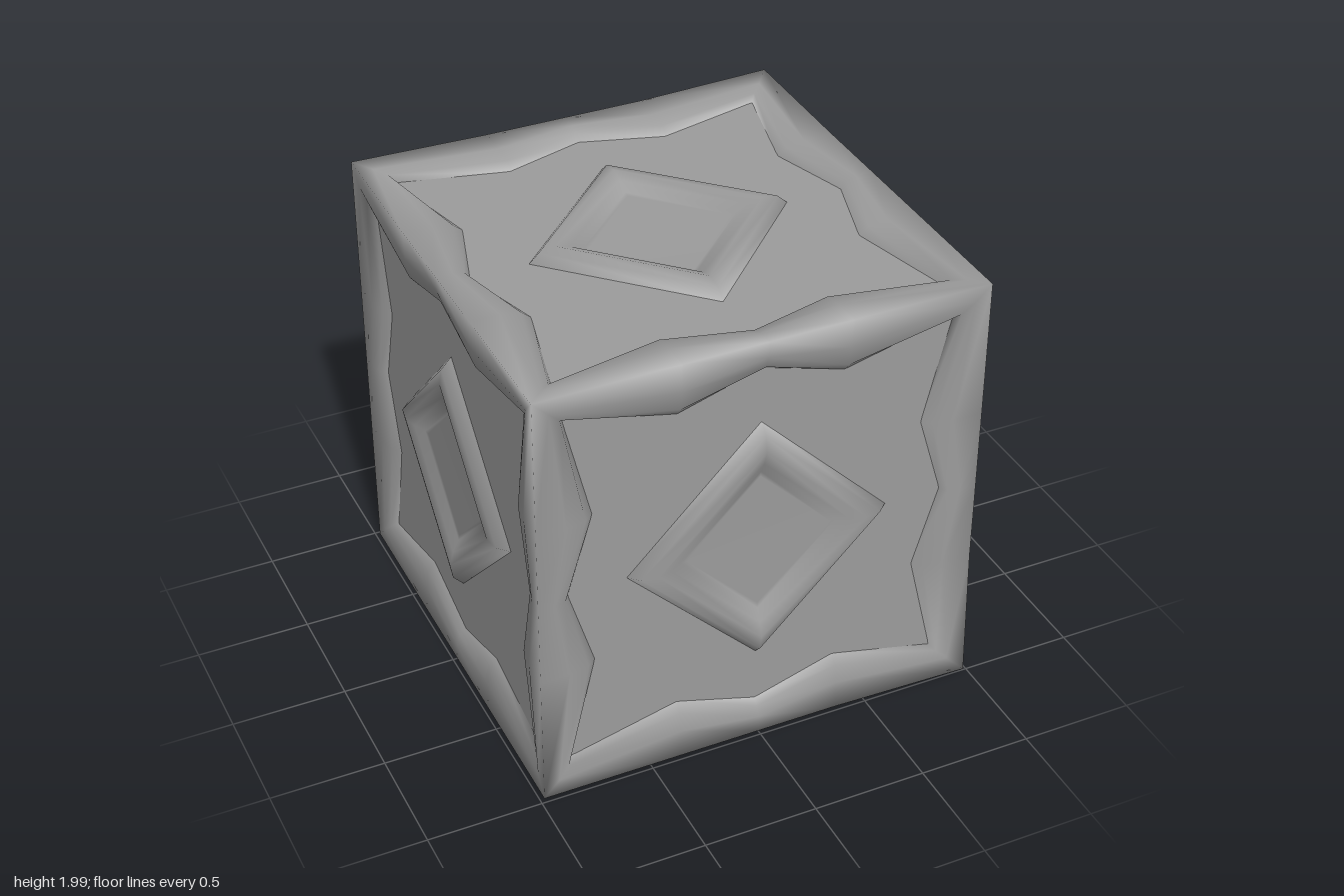
import * as THREE from 'three';
import { mergeGeometries, mergeVertices } from 'three/addons/utils/BufferGeometryUtils.js';

const HALF = 0.98;   // half width over the frame
const PANEL = 0.93;  // distance of the recessed panels from the centre
const H = Math.PI / 2;

// Turn that carries an upward face to each side, and how far its diamond stands out
const SIDES = {
  top: { turn: [0, 0, 0], lift: 0 },
  bottom: { turn: [Math.PI, 0, 0], lift: 0 },
  front: { turn: [H, 0, 0], lift: 0 },
  back: { turn: [-H, 0, 0], lift: 0.008 },
  left: { turn: [0, 0, -H], lift: 0.014 },
  right: { turn: [0, 0, H], lift: 0.004 },
};

// Wavy border of one upward face: straight outer edge, zigzag inner edge
function borderGeometry() {
  const quarter = [ // [outer, inner] along one side, as x, z
    [[HALF, HALF], [0.838, 0.838]],
    [[HALF, 0.365], [0.722, 0.362]],
    [[HALF, 0], [0.832, 0]],
    [[HALF, -0.365], [0.722, -0.362]],
  ];
  const loop = [];
  const turn = ([x, z], n) => (n === 0 ? [x, z] : turn([z, -x], n - 1));
  for (let n = 0; n < 4; n++) for (const [o, i] of quarter) loop.push([turn(o, n), turn(i, n)]);

  const rows = [[0, 0], [0.5, 0.004], [0.84, 0.018], [1, 0.052]]; // [inset, depth]
  const count = loop.length;
  const positions = [];
  const indices = [];
  for (const [t, depth] of rows) {
    for (const [o, i] of loop) {
      positions.push(o[0] + (i[0] - o[0]) * t, HALF - depth, o[1] + (i[1] - o[1]) * t);
    }
  }
  for (let r = 0; r < rows.length - 1; r++) {
    for (let k = 0; k < count; k++) {
      const a = r * count + k;
      const b = r * count + (k + 1) % count;
      indices.push(a, b, a + count, b, b + count, a + count);
    }
  }
  const geometry = new THREE.BufferGeometry();
  geometry.setAttribute('position', new THREE.Float32BufferAttribute(positions, 3));
  geometry.setIndex(indices);
  return geometry;
}

// Six borders welded so the shading flows round the cube edges
function frameGeometry() {
  const borders = Object.values(SIDES).map(({ turn }) => borderGeometry().applyMatrix4(
    new THREE.Matrix4().makeRotationFromEuler(new THREE.Euler(...turn))));
  const frame = mergeVertices(mergeGeometries(borders), 1e-3);

  // A few corners are slightly pulled out
  const pulls = [
    [[1, 1, -1], [0, 0.008, -0.02]],
    [[-1, 1, -1], [0, 0.012, 0]],
    [[1, -1, 1], [0.016, -0.018, 0]],
  ];
  const position = frame.attributes.position;
  const point = new THREE.Vector3();
  for (const [corner, pull] of pulls) {
    const target = new THREE.Vector3(...corner).multiplyScalar(HALF);
    for (let i = 0; i < position.count; i++) {
      point.fromBufferAttribute(position, i);
      if (point.distanceTo(target) > 0.01) continue;
      point.add(new THREE.Vector3(...pull));
      position.setXYZ(i, point.x, point.y, point.z);
    }
  }
  frame.computeVertexNormals();
  return frame;
}

export function createModel() {
  const group = new THREE.Group();
  const material = new THREE.MeshStandardMaterial({ color: 0x9c9c9c });
  const add = (name, geometry) => {
    const mesh = new THREE.Mesh(geometry, material);
    mesh.name = name;
    group.add(mesh);
    return mesh;
  };

  // Recessed flat panels and the wavy frame round them
  add('panels', new THREE.BoxGeometry(2 * PANEL, 2 * PANEL, 2 * PANEL));
  add('frame', frameGeometry());

  // Rounded diamond ring on every side, its inner slope running into a flat floor
  const profile = [
    [0.59, PANEL - 0.015], [0.58, PANEL], [0.535, 0.972], [0.465, 0.984],
    [0.4, 0.966], [0.345, 0.938], [0.32, 0.934], [0, 0.934],
  ].map(([r, y]) => new THREE.Vector2(r, y));
  const ring = new THREE.LatheGeometry(profile, 4);
  for (const [side, { turn, lift }] of Object.entries(SIDES)) {
    const diamond = add(`${side}Diamond`, ring);
    diamond.rotation.set(...turn);
    diamond.position.set(0, lift, 0).applyEuler(diamond.rotation);
  }

  group.position.set(-0.007, 1.007, 0.015);
  return group;
}
